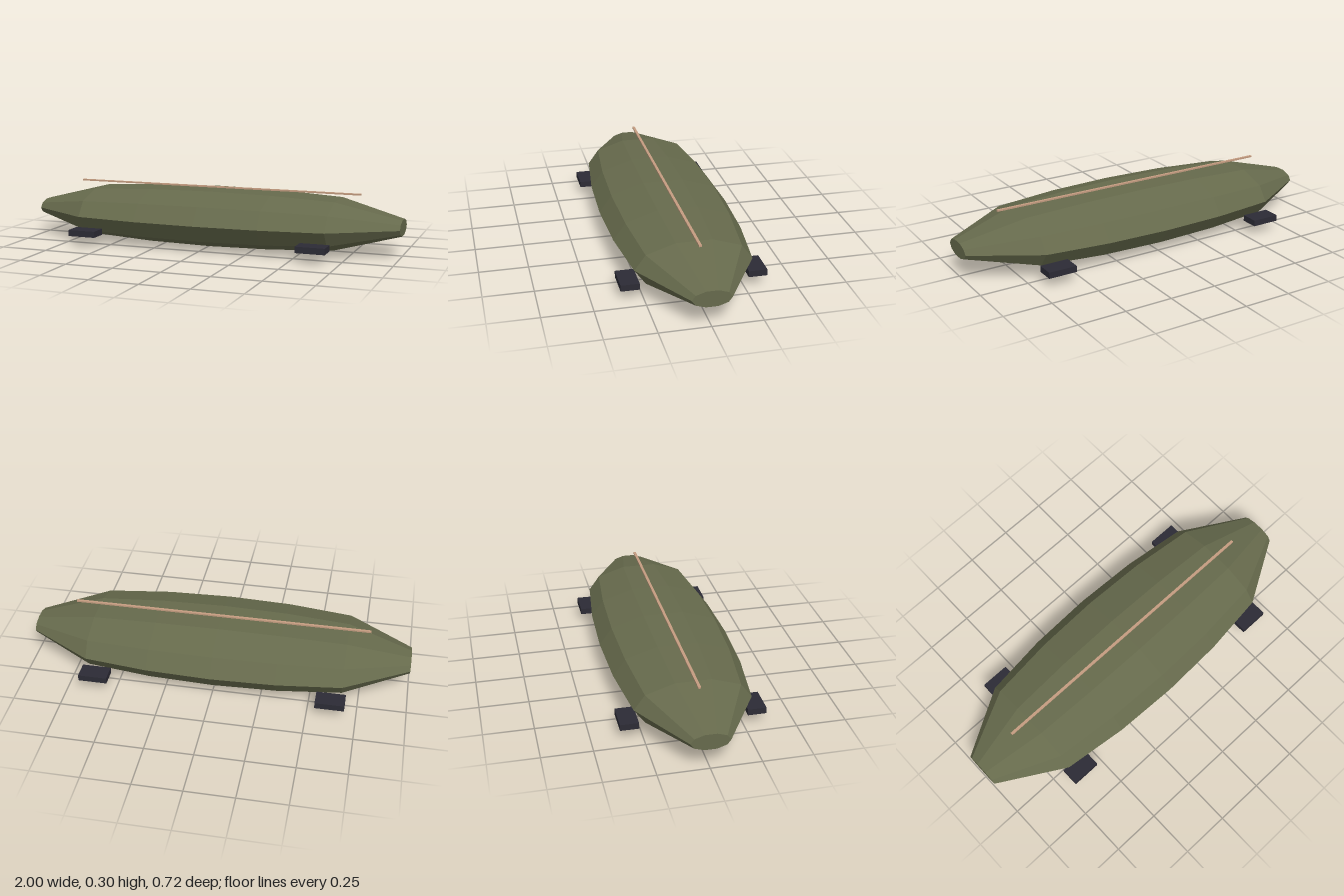
import * as THREE from 'three';

const olive = new THREE.MeshStandardMaterial({ color: 0x666a4c, flatShading: true, name: 'oliveHull' });
const dark = new THREE.MeshStandardMaterial({ color: 0x2c2b35, flatShading: true, name: 'darkPod' });
const tan = new THREE.MeshStandardMaterial({ color: 0xc49c80, flatShading: true, name: 'tanLine' });

function box(name, size, pos, material) {
  const mesh = new THREE.Mesh(new THREE.BoxGeometry(...size), material);
  mesh.name = name;
  mesh.position.set(...pos);
  return mesh;
}

// Ten-sided body whose rings shrink towards both ends
function hullGeometry() {
  const scales = [1, 0.965, 0.85, 0.28]; // from the middle ring to the tip
  const geo = new THREE.CylinderGeometry(1, 1, 2, 10, 6);
  geo.rotateZ(-Math.PI / 2);
  const p = geo.attributes.position;
  for (let i = 0; i < p.count; i++) {
    const s = scales[Math.round(Math.abs(p.getX(i)) * 3)];
    p.setY(i, p.getY(i) * s * 0.1525);
    p.setZ(i, p.getZ(i) * s * 0.342);
  }
  geo.computeVertexNormals();
  return geo;
}

export function createModel() {
  const model = new THREE.Group();
  model.name = 'airship';

  const hull = new THREE.Mesh(hullGeometry(), olive);
  hull.name = 'hull';
  hull.position.y = 0.146;
  model.add(hull);

  // Thin line running above the spine
  model.add(box('spineLine', [1.565, 0.008, 0.014], [0, 0.301, 0], tan));

  // Four side pods
  for (const sx of [1, -1]) {
    for (const sz of [1, -1]) {
      const name = (sz > 0 ? 'front' : 'back') + (sx > 0 ? 'Left' : 'Right') + 'Pod';
      model.add(box(name, [0.15, 0.032, 0.093], [sx * 0.615, 0.071, sz * 0.3155], dark));
    }
  }
  return model;
}
